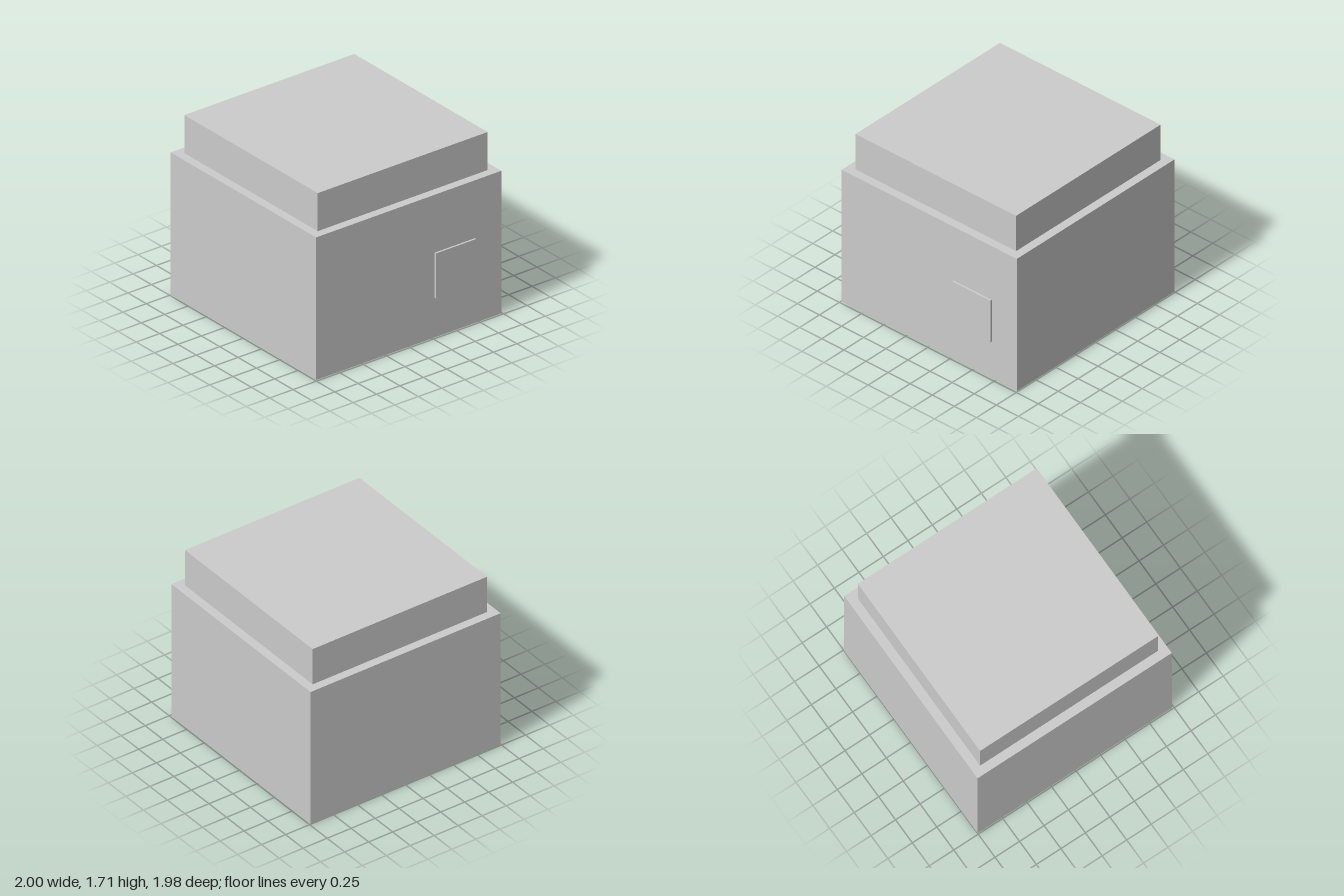
import * as THREE from 'three';

const material = new THREE.MeshStandardMaterial({ color: 0xcccccc, flatShading: true });

// Box given by its minimum and maximum corners
function block(name, min, max) {
  const [w, h, d] = max.map((v, i) => v - min[i]);
  const mesh = new THREE.Mesh(new THREE.BoxGeometry(w, h, d), material);
  mesh.position.set(min[0] + w / 2, min[1] + h / 2, min[2] + d / 2);
  mesh.name = name;
  return mesh;
}

export function createModel() {
  const model = new THREE.Group();
  model.name = 'steppedBlock';
  model.add(
    // Main volume
    block('body', [-1, 0, -0.99], [0.982, 1.35, 0.99]),
    // Inset upper tier
    block('upperTier', [-0.918, 1.35, -0.908], [0.9, 1.71, 0.908]),
    // Thin square panel on the +x side, towards the back
    block('sidePanel', [0.982, 0.375, -0.707], [1, 0.802, -0.278])
  );
  return model;
}
